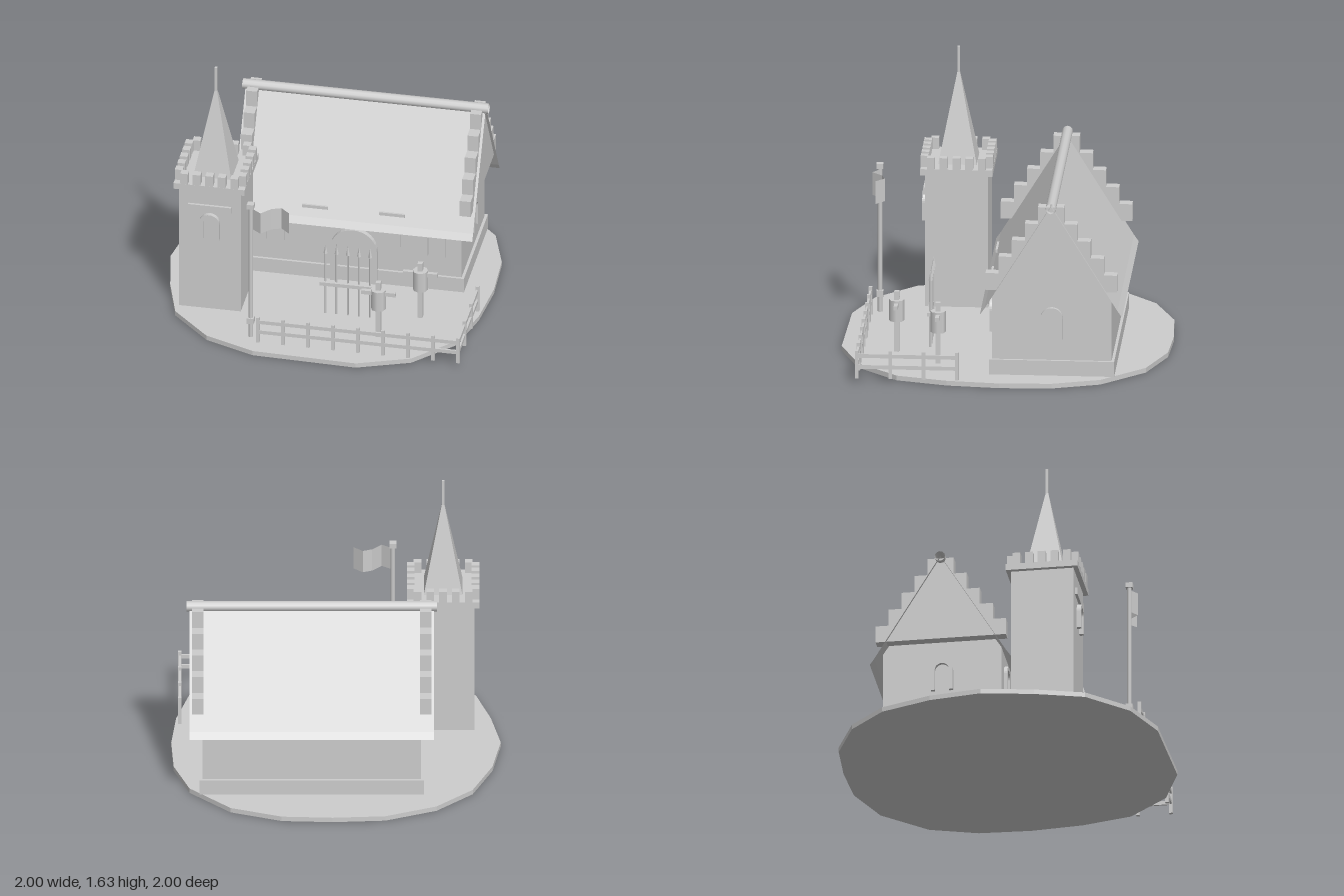
import * as THREE from 'three';

const stone = new THREE.MeshStandardMaterial({ color: 0xcccccc, side: THREE.DoubleSide });
stone.name = 'stoneGrey';

export function createModel() {
  const model = new THREE.Group();
  model.name = 'chapelYard';

  const add = (name, geo, x = 0, y = 0, z = 0, parent = model) => {
    const mesh = new THREE.Mesh(geo, stone);
    mesh.name = name;
    mesh.position.set(x, y, z);
    parent.add(mesh);
    return mesh;
  };
  // box given by its minimum and maximum on each axis
  const box = (name, x0, x1, y0, y1, z0, z1, parent) =>
    add(name, new THREE.BoxGeometry(x1 - x0, y1 - y0, z1 - z0), (x0 + x1) / 2, (y0 + y1) / 2, (z0 + z1) / 2, parent);
  const group = (name) => {
    const g = new THREE.Group();
    g.name = name;
    model.add(g);
    return g;
  };
  const flat = (geo) => {
    const g = geo.toNonIndexed();
    g.computeVertexNormals();
    return g;
  };
  const shapeOf = (pts) => new THREE.Shape(pts.map(([x, y]) => new THREE.Vector2(x, y)));
  const extrude = (shape, depth) =>
    new THREE.ExtrudeGeometry(shape, { depth, bevelEnabled: false, curveSegments: 8 });
  // horseshoe frame, open at the bottom, standing on y = 0
  const archFrame = (width, height, thick, depth) => {
    const r = width / 2, s = new THREE.Shape();
    s.moveTo(r, 0);
    s.lineTo(r, height - r);
    s.absarc(0, height - r, r, 0, Math.PI, false);
    s.lineTo(-r, 0);
    s.lineTo(-r + thick, 0);
    s.lineTo(-r + thick, height - r);
    s.absarc(0, height - r, r - thick, Math.PI, 0, true);
    s.lineTo(r - thick, 0);
    return extrude(s, depth);
  };

  // Ground: uneven disc
  const rim = [[1, 0], [0.985, -0.32], [0.89, -0.61], [0.64, -0.87], [0.33, -0.985], [0.02, -1], [-0.3, -0.98],
    [-0.61, -0.85], [-0.83, -0.63], [-0.95, -0.32], [-1, 0], [-0.94, 0.32], [-0.85, 0.62], [-0.61, 0.86],
    [-0.3, 0.98], [0.34, 1], [0.66, 0.88], [0.89, 0.63], [0.97, 0.32]];
  add('ground', extrude(shapeOf(rim.map(([x, z]) => [x, -z])), 0.03).rotateX(-Math.PI / 2));

  // Hall walls and plinth
  const hallX = 0.147, hallZ = -0.31, floor = 0.03;
  const wallProfile = shapeOf([[-0.363, floor], [0.363, floor], [0.363, 0.53], [0, 1.08], [-0.363, 0.53]]);
  add('hallWalls', extrude(wallProfile, 1.325).rotateY(Math.PI / 2), hallX - 0.6625, 0, hallZ);
  box('plinth', hallX - 0.68, hallX + 0.68, floor, 0.125, hallZ - 0.38, hallZ + 0.38);

  // Roof: open sheets with a kick at the eaves
  const profile = [[-0.433, 0.43], [-0.405, 0.47], [0, 1.13], [0.405, 0.47], [0.433, 0.43]];
  const pos = [];
  for (let i = 0; i < profile.length - 1; i++) {
    const [za, ya] = profile[i], [zb, yb] = profile[i + 1], L = 0.742;
    pos.push(-L, ya, za, -L, yb, zb, L, yb, zb, -L, ya, za, L, yb, zb, L, ya, za);
  }
  const roof = new THREE.BufferGeometry();
  roof.setAttribute('position', new THREE.Float32BufferAttribute(pos, 3));
  roof.computeVertexNormals();
  add('roof', roof, hallX, 0, hallZ);
  add('ridgeRoll', new THREE.CylinderGeometry(0.032, 0.032, 1.52, 12, 1, true).rotateZ(Math.PI / 2), hallX, 1.12, hallZ);

  // Stepped gables at both ends
  for (const side of [-1, 1]) {
    const gable = group(side > 0 ? 'leftGable' : 'rightGable');
    const cx = hallX + side * 0.692;
    for (let i = 0; i < 5; i++) {
      const half = 0.4 - 0.08 * i, y = 0.585 + 0.107 * i;
      box('gableStep', cx - 0.034, cx + 0.034, y, y + 0.107, hallZ - half, hallZ + half, gable);
    }
    // gable window
    const w = add('gableWindow', archFrame(0.135, 0.2, 0.024, 0.03), hallX + side * 0.655, 0.262, hallZ);
    w.rotation.y = side * Math.PI / 2;
  }

  // Front windows, hanging shields and roof slats, mirrored about the door
  const frontZ = hallZ + 0.36;
  add('doorFrame', archFrame(0.29, 0.37, 0.035, 0.035), hallX, floor, frontZ);
  const shield = shapeOf([[-0.047, 0.45], [-0.047, 0.3], [0, 0.24], [0.047, 0.3], [0.047, 0.45]]);
  for (const s of [-1, 1]) {
    add('hallWindow', archFrame(0.135, 0.2, 0.024, 0.025), hallX + s * 0.5, 0.265, frontZ);
    add('hangingShield', extrude(shield, 0.015), hallX + s * 0.237, 0, frontZ);
    const sx = hallX + s * 0.238;
    box('roofSlat', sx - 0.08, sx + 0.08, 0.53, 0.55, 0.075, 0.088);
  }

  // Tower
  const tx = -0.65, tz = 0.355;
  const tower = group('tower');
  box('towerBody', tx - 0.191, tx + 0.191, floor, 0.88, tz - 0.191, tz + 0.191, tower);
  box('parapet', tx - 0.22, tx + 0.22, 0.875, 0.915, tz - 0.22, tz + 0.22, tower);
  for (let i = -2; i <= 2; i++) {
    for (const s of [-1, 1]) {
      const m = () => new THREE.BoxGeometry(0.047, 0.075, 0.047);
      add('merlon', m(), tx + i * 0.0775, 0.95, tz + s * 0.196, tower);
      add('merlon', m(), tx + s * 0.196, 0.95, tz + i * 0.0775, tower);
    }
  }
  const spire = new THREE.ConeGeometry(0.118 * Math.SQRT2, 0.6, 4).rotateY(Math.PI / 4);
  add('spire', flat(spire), tx, 1.212, tz, tower);
  box('finial', tx - 0.008, tx + 0.008, 1.47, 1.635, tz - 0.008, tz + 0.008, tower);
  add('towerWindow', archFrame(0.125, 0.175, 0.024, 0.03), tx, 0.535, tz + 0.188, tower);
  box('towerLedge', tx - 0.133, tx + 0.133, 0.725, 0.768, tz + 0.18, tz + 0.207, tower);

  // Flagpole with a rippling flag
  const px = -0.345, pz = 0.813;
  const flagpole = group('flagpole');
  add('pole', new THREE.CylinderGeometry(0.014, 0.014, 0.92, 8), px, 0.49, pz, flagpole);
  for (const [y0, y1] of [[0.128, 0.165], [0.945, 0.977]])
    box('poleCollar', px - 0.021, px + 0.021, y0, y1, pz - 0.021, pz + 0.021, flagpole);
  const flag = new THREE.PlaneGeometry(0.23, 0.145, 4, 1);
  const ripple = [0, 0.042, -0.02, -0.042, 0.01];
  for (let i = 0; i < flag.attributes.position.count; i++) flag.attributes.position.setZ(i, ripple[i % 5]);
  add('flag', flat(flag), px + 0.125, 0.867, pz, flagpole);

  // Corner fence
  const fence = group('fence');
  const fx0 = -0.29, fx1 = 0.948, fz0 = 0.258, fz1 = 0.867;
  const post = (x, z) => box('fencePost', x - 0.011, x + 0.011, floor, 0.205, z - 0.011, z + 0.011, fence);
  for (let i = 0; i <= 8; i++) post(fx0 + (fx1 - fx0) * i / 8, fz1);
  for (let i = 0; i < 3; i++) post(fx1, fz0 + (fz1 - fz0) * i / 3);
  for (const y of [0.102, 0.172]) {
    box('frontRail', fx0, fx1, y - 0.012, y + 0.012, fz1 - 0.006, fz1 + 0.006, fence);
    box('sideRail', fx1 - 0.006, fx1 + 0.006, y - 0.012, y + 0.012, fz0, fz1, fence);
  }

  // Spear rack
  const rack = group('spearRack');
  box('rackRail', 0.016, 0.354, 0.233, 0.256, 0.457, 0.481, rack);
  for (let i = 0; i < 5; i++) {
    const x = 0.048 + i * 0.069;
    add('spearShaft', new THREE.CylinderGeometry(0.006, 0.006, 0.43, 6), x, 0.245, 0.46, rack);
    add('spearHead', flat(new THREE.ConeGeometry(0.013, 0.065, 4)), x, 0.487, 0.46, rack);
  }

  // Training dummies
  for (const [x, z] of [[0.415, 0.66], [0.622, 0.395]]) {
    const dummy = group('trainingDummy');
    box('dummyPost', x - 0.015, x + 0.015, floor, 0.415, z - 0.015, z + 0.015, dummy);
    add('dummyBody', new THREE.CylinderGeometry(0.047, 0.047, 0.133, 8), x, 0.295, z, dummy);
    box('dummyArms', x - 0.106, x + 0.106, 0.323, 0.349, z - 0.012, z + 0.012, dummy);
  }
  return model;
}
